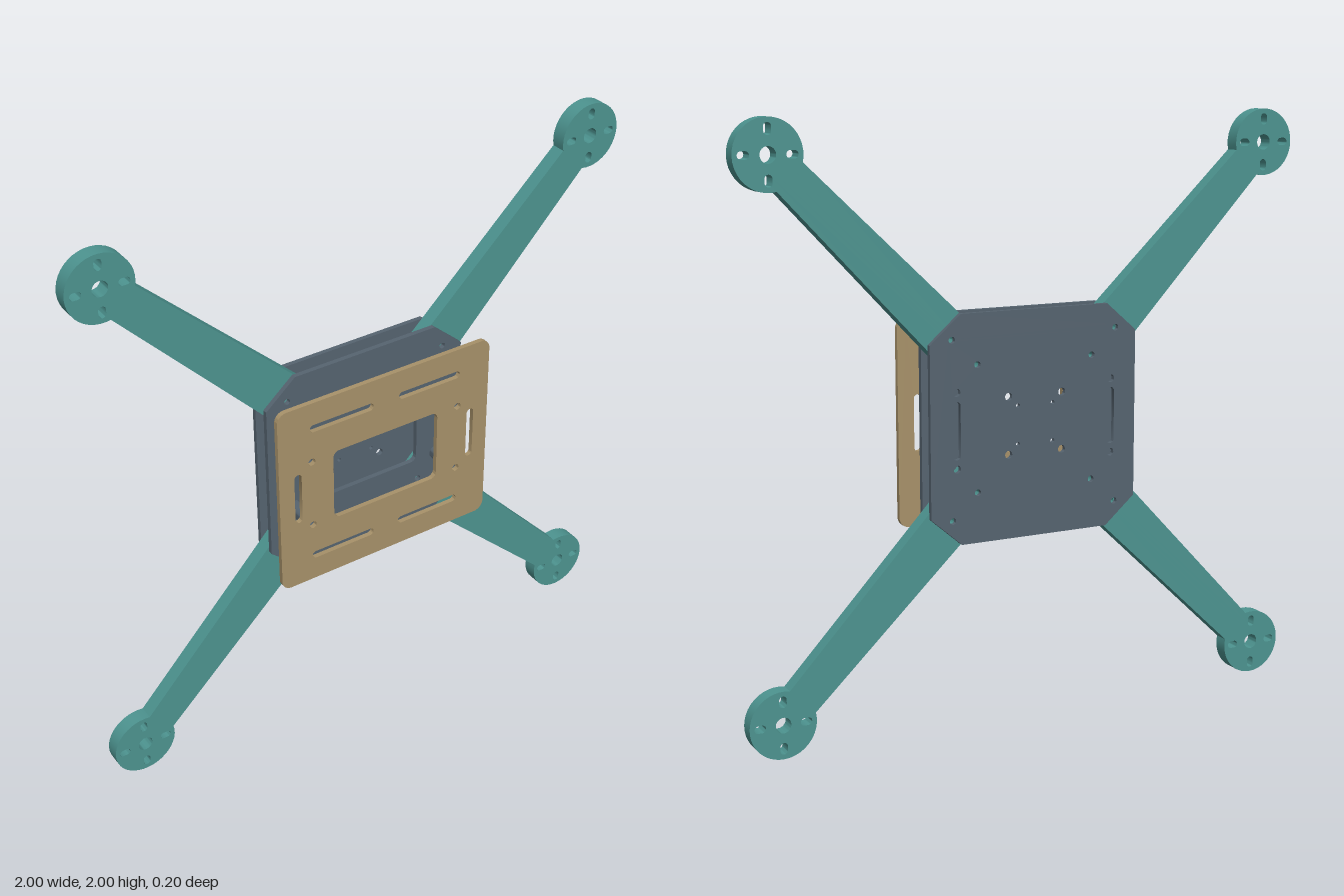
import * as THREE from 'three';
import { toCreasedNormals } from 'three/addons/utils/BufferGeometryUtils.js';

const CENTRE_Y = 1;
const mat = (color) => new THREE.MeshStandardMaterial({ color });

// Rounded slot or rectangle, w by h, centred on (x, y)
function roundedRect(x, y, w, h, r, path = new THREE.Path()) {
  const a = w / 2 - r, b = h / 2 - r;
  path.moveTo(x + w / 2, y - b);
  path.absarc(x + a, y + b, r, 0, Math.PI / 2);
  path.absarc(x - a, y + b, r, Math.PI / 2, Math.PI);
  path.absarc(x - a, y - b, r, Math.PI, Math.PI * 1.5);
  path.absarc(x + a, y - b, r, Math.PI * 1.5, Math.PI * 2);
  path.closePath();
  return path;
}

function circle(x, y, r) {
  return new THREE.Path().absarc(x, y, r, 0, Math.PI * 2);
}

// Calls make(x, y) in all four quadrants
function four(x, y, make) {
  return [[1, 1], [-1, 1], [-1, -1], [1, -1]].map(([sx, sy]) => make(sx * x, sy * y));
}

// Flat sheet cut from a shape, filling z0 to z1
function sheet(name, shape, z0, z1, material) {
  let geo = new THREE.ExtrudeGeometry(shape, { depth: z1 - z0, bevelEnabled: false, curveSegments: 16 });
  geo = toCreasedNormals(geo, 0.6);
  geo.translate(0, 0, z0);
  const mesh = new THREE.Mesh(geo, material);
  mesh.name = name;
  return mesh;
}

// Square frame plate with chamfered corners
function framePlateShape() {
  const s = 0.377, cx = 0.268, cy = 0.283;
  const shape = new THREE.Shape([
    [s, -cy], [s, cy], [cx, s], [-cx, s], [-s, cy], [-s, -cy], [-cx, -s], [cx, -s],
  ].map(([x, y]) => new THREE.Vector2(x, y)));
  shape.holes.push(
    ...four(0.284, 0.125, (x, y) => circle(x, y, 0.013)),
    ...four(0.3, 0.295, (x, y) => circle(x, y, 0.011)),
    ...four(0.21, 0.21, (x, y) => circle(x, y, 0.011)),
  );
  return shape;
}

// Tapered arm along +x ending in a round motor mount
function armShape() {
  const d = 1.256, r = 0.112, h = 0.06;
  const a = Math.PI - Math.asin(h / r);
  const shape = new THREE.Shape();
  shape.moveTo(0.272, 0.085);
  shape.lineTo(0.272, -0.085);
  shape.lineTo(d + r * Math.cos(a), -h);
  shape.absarc(d, 0, r, -a, a);
  shape.closePath();
  shape.holes.push(circle(d, 0, 0.026), circle(0.297, 0, 0.011), circle(0.42, 0, 0.011));
  // Radial motor slots, lined up with the model's axes
  for (let i = 0; i < 4; i++) {
    const t = Math.PI / 4 + i * Math.PI / 2;
    const slot = roundedRect(0.077, 0, 0.038, 0.025, 0.0124).getPoints(8);
    const points = slot.map((p) => p.rotateAround(new THREE.Vector2(), t).add(new THREE.Vector2(d, 0)));
    shape.holes.push(new THREE.Path(points));
  }
  return shape;
}

export function createModel() {
  const model = new THREE.Group();
  model.name = 'quadcopterFrame';
  const teal = mat(0x4d9490), slate = mat(0x566470), tan = mat(0xa8926a);

  // Four diagonal arms
  const armOutline = armShape();
  for (let i = 0; i < 4; i++) {
    const arm = sheet('arm' + (i + 1), armOutline, -0.084, -0.033, teal);
    arm.rotation.z = Math.PI / 4 + i * Math.PI / 2;
    model.add(arm);
  }

  // Back plate with slots and the central bolt pattern
  const back = framePlateShape();
  back.holes.push(
    ...four(0.098, 0.096, (x, y) => circle(x, y, 0.013)),
    ...four(0.064, 0.064, (x, y) => circle(x, y, 0.007)),
    ...[-1, 1].map((s) => roundedRect(s * 0.284, 0, 0.027, 0.19, 0.0134)),
  );
  model.add(sheet('backPlate', back, -0.1, -0.084, slate));

  // Front plate with a central window
  const front = framePlateShape();
  front.holes.push(roundedRect(0, 0, 0.406, 0.264, 0.022));
  model.add(sheet('frontPlate', front, -0.033, -0.016, slate));

  // Hollow standoffs
  const ring = new THREE.Shape().absarc(0, 0, 0.025, 0, Math.PI * 2);
  ring.holes.push(circle(0, 0, 0.013));
  four(0.284, 0.125, (x, y) => {
    const post = sheet('standoff', ring, -0.016, 0.083, slate);
    post.position.set(x, y, 0);
    model.add(post);
  });

  // Outer mounting plate with window, slots and screw holes
  const cover = roundedRect(0, 0, 0.814, 0.694, 0.035, new THREE.Shape());
  cover.holes.push(
    roundedRect(0, 0, 0.406, 0.264, 0.022),
    ...four(0.284, 0.125, (x, y) => circle(x, y, 0.013)),
    ...four(0.169, 0.251, (x, y) => roundedRect(x, y, 0.24, 0.027, 0.0134)),
    ...[-1, 1].map((s) => roundedRect(s * 0.337, 0, 0.027, 0.19, 0.0134)),
  );
  model.add(sheet('mountingPlate', cover, 0.083, 0.1, tan));

  model.children.forEach((part) => { part.position.y += CENTRE_Y; });
  return model;
}
